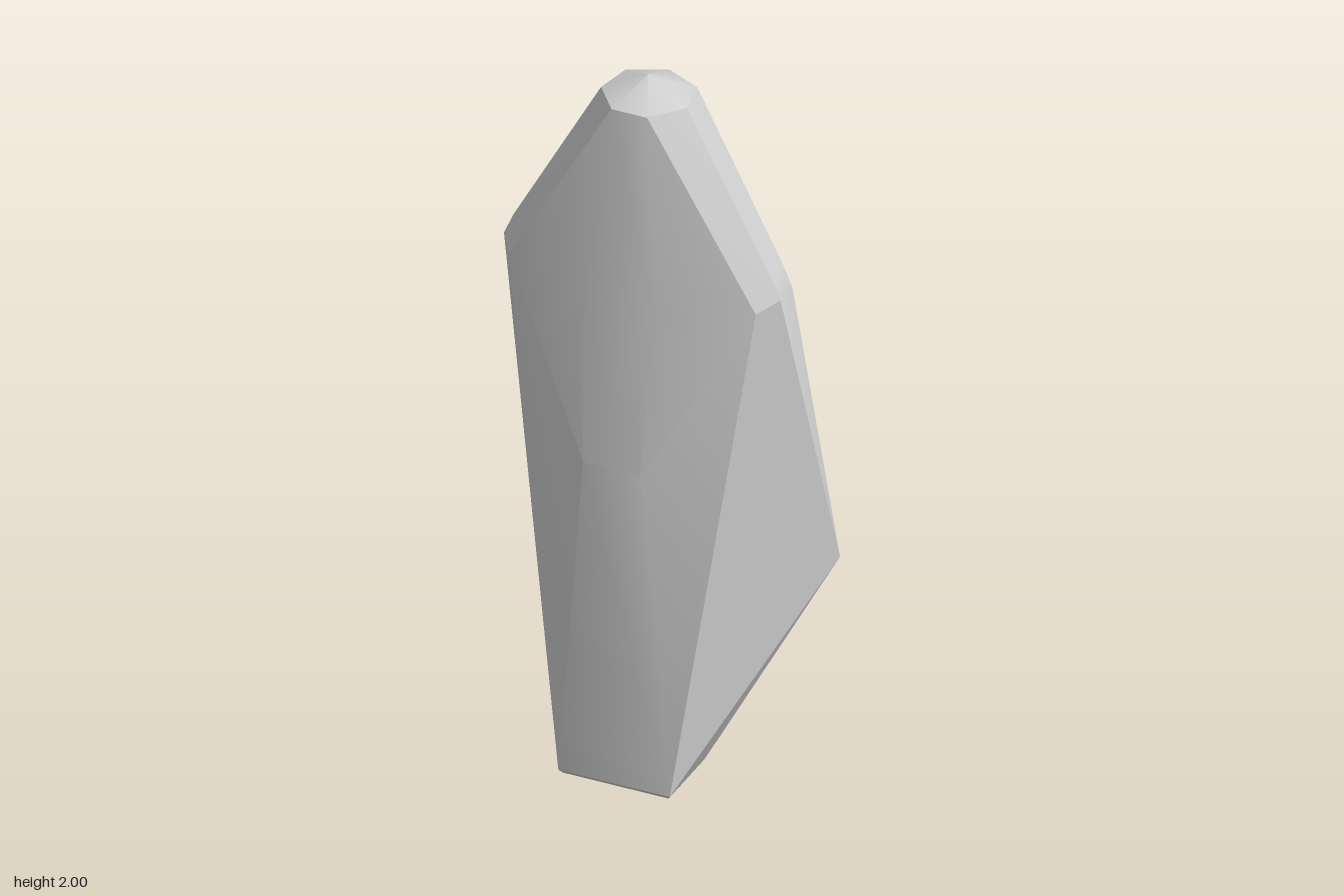
import * as THREE from 'three';
import { toCreasedNormals } from 'three/addons/utils/BufferGeometryUtils.js';
import { ConvexGeometry } from 'three/addons/geometries/ConvexGeometry.js';

// Corners of the +x half; every corner off the centre line is mirrored.
const HALF = [
  // tip and seven-sided crown
  [0, 2, 0.02], [0, 1.945, -0.105], [0.1, 1.945, -0.058], [0.12, 1.945, 0.045], [0.05, 1.945, 0.132],
  // shoulders, slightly chamfered
  [0.361, 1.51, -0.015], [0.361, 1.51, 0.055], [0.387, 1.45, -0.015], [0.387, 1.45, 0.055],
  [0.346, 1.43, 0.115], [0.24, 1.45, -0.15],
  // front bulge
  [0.1, 1.43, 0.194], [0.08, 0.95, 0.236],
  // widest ridge, at the back
  [0.423, 0.55, -0.22], [0.1, 0.55, -0.236],
  // foot with a small bevel
  [0.156, 0.012, 0.222], [0.148, 0, 0.212], [0.156, 0.012, 0.012], [0.148, 0, 0.02],
];

export function createModel() {
  const group = new THREE.Group();
  group.name = 'facetedStone';
  const stone = new THREE.MeshStandardMaterial({ color: 0xcfcfcf });
  stone.name = 'pale stone grey';

  const points = HALF.flatMap(([x, y, z]) => x === 0
    ? [new THREE.Vector3(x, y, z)]
    : [new THREE.Vector3(x, y, z), new THREE.Vector3(-x, y, z)]);

  // Soft shading over shallow facets, crisp at the strong edges
  const body = new THREE.Mesh(toCreasedNormals(new ConvexGeometry(points), 0.4), stone);
  body.name = 'stoneBody';
  group.add(body);
  return group;
}
